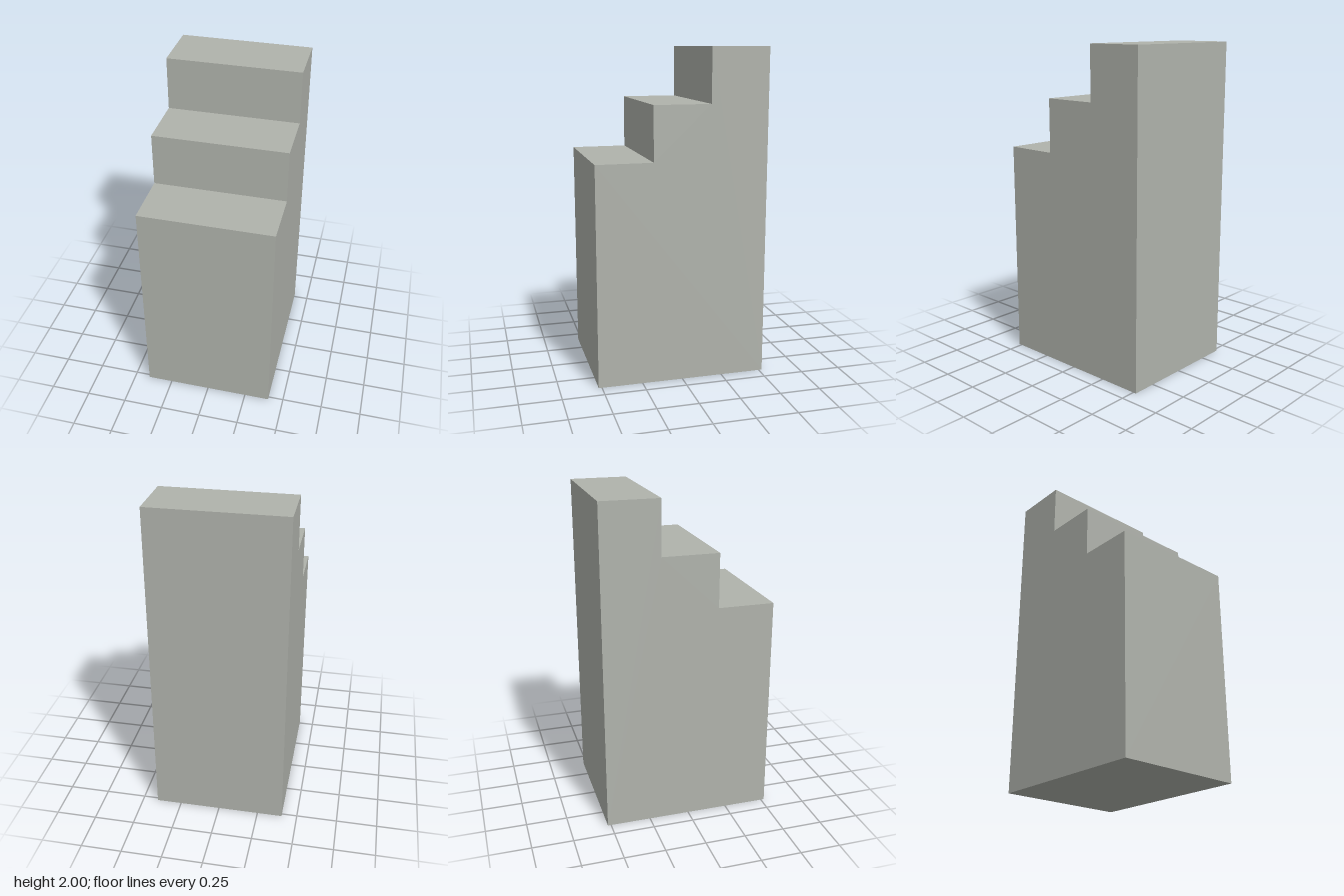
import * as THREE from 'three';

const WIDTH = 0.81;

export function createModel() {
  const group = new THREE.Group();
  group.name = 'steppedBlock';

  const stone = new THREE.MeshStandardMaterial({ color: 0xb0b3ac });
  stone.name = 'grey stone';

  // Side profile as [z, y]: a tall block with three treads descending to the front
  const profile = [
    [-0.52, 0], [0.52, 0],
    [0.52, 1.345], [0.177, 1.345],
    [0.177, 1.673], [-0.168, 1.673],
    [-0.168, 2], [-0.52, 2],
  ].map(([z, y]) => new THREE.Vector2(z, y));

  // Extrude across the width, then turn so the profile runs along z
  const geometry = new THREE.ExtrudeGeometry(new THREE.Shape(profile), {
    depth: WIDTH, bevelEnabled: false,
  });
  geometry.translate(0, 0, -WIDTH / 2);
  geometry.rotateY(-Math.PI / 2);

  const steps = new THREE.Mesh(geometry, stone);
  steps.name = 'steps';
  group.add(steps);
  return group;
}
